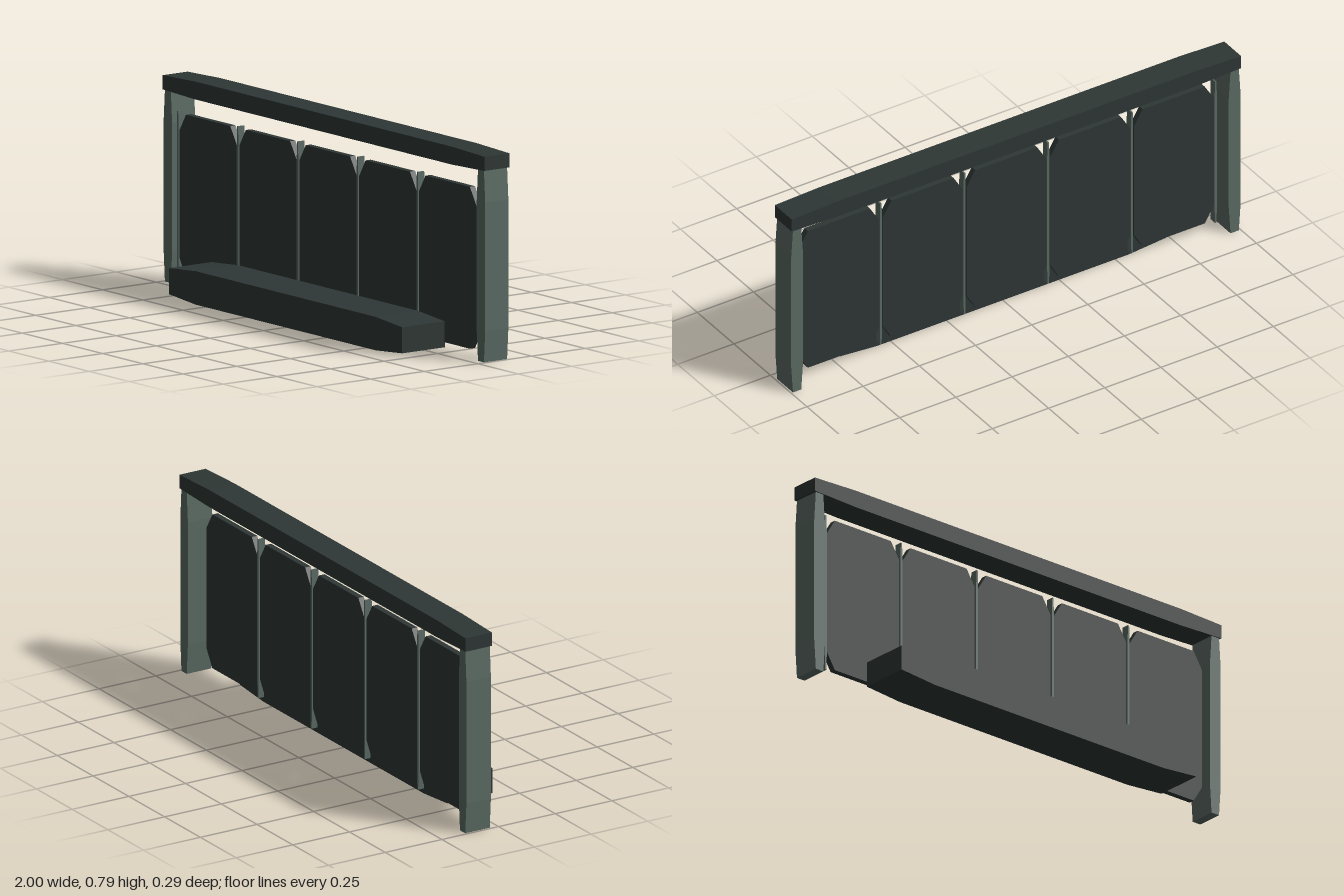
import * as THREE from 'three';

const frameDark = new THREE.MeshStandardMaterial({ color: 0x2e3735 });
frameDark.name = 'dark slate';
const frameLight = new THREE.MeshStandardMaterial({ color: 0x5c6b64 });
frameLight.name = 'grey green';

// Bar or plate with chamfered corners (cx, cy), extruded from z0 to z1
function chamferedBlock(name, [x0, x1], [y0, y1], [z0, z1], cx, cy, material) {
  const outline = new THREE.Shape([
    [x0 + cx, y0], [x1 - cx, y0], [x1, y0 + cy], [x1, y1 - cy],
    [x1 - cx, y1], [x0 + cx, y1], [x0, y1 - cy], [x0, y0 + cy],
  ].map(([x, y]) => new THREE.Vector2(x, y)));
  const geometry = new THREE.ExtrudeGeometry(outline, { depth: z1 - z0, bevelEnabled: false });
  geometry.translate(0, 0, z0);
  const mesh = new THREE.Mesh(geometry, material);
  mesh.name = name;
  return mesh;
}

export function createModel() {
  const model = new THREE.Group();
  model.name = 'panelBarrier';

  // Top rail and front foot, both slightly tapered towards the ends
  model.add(chamferedBlock('topRail', [-1, 1], [0.722, 0.79], [-0.146, -0.03], 0.2, 0.007, frameDark));
  model.add(chamferedBlock('frontFoot', [-0.725, 0.725], [0, 0.127], [-0.053, 0.147], 0.165, 0.014, frameDark));

  // End posts
  model.add(chamferedBlock('rightPost', [-1, -0.947], [0, 0.728], [-0.142, -0.034], 0.008, 0.12, frameLight));
  model.add(chamferedBlock('leftPost', [0.947, 1], [0, 0.728], [-0.142, -0.034], 0.008, 0.12, frameLight));

  // Five panels, each with a thin divider on its right-hand side
  const pitch = 0.3725;
  for (let i = 0; i < 5; i++) {
    const x = -0.931 + i * pitch;
    model.add(chamferedBlock('panel' + (i + 1), [x + 0.007, x + 0.363], [0.033, 0.648], [-0.075, -0.051], 0.04, 0.065, frameDark));
    model.add(chamferedBlock('divider' + (i + 1), [x - 0.005, x + 0.005], [0.02, 0.655], [-0.078, -0.048], 0.002, 0.06, frameLight));
  }
  return model;
}
